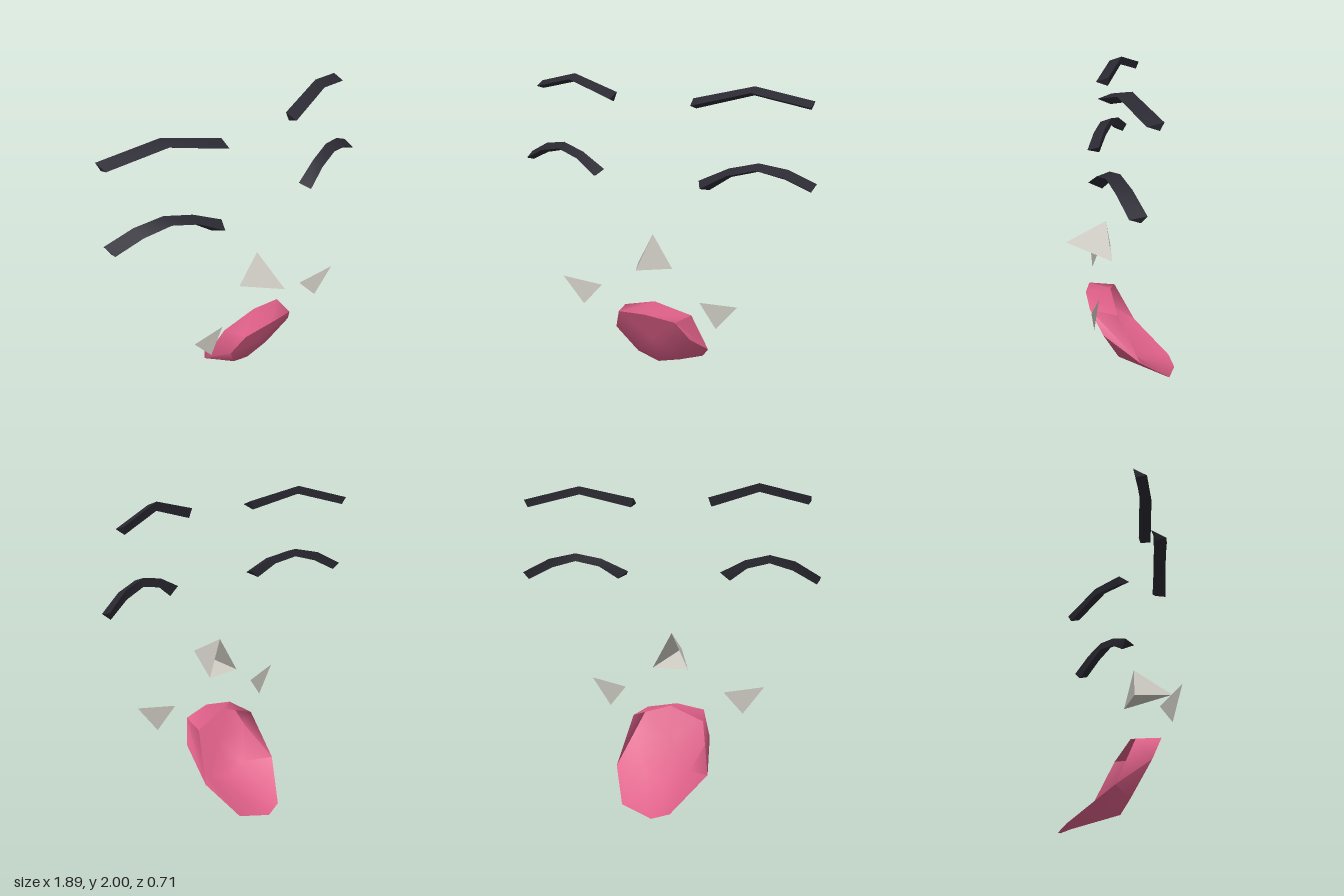
import * as THREE from 'three';
import { toCreasedNormals } from 'three/addons/utils/BufferGeometryUtils.js';

// Geometry from a list of [x, y, z] points and triangles; flip reverses the winding for mirrored parts
function facets(points, tris, flip = false, crease = 0.9) {
  const g = new THREE.BufferGeometry();
  g.setAttribute('position', new THREE.Float32BufferAttribute(points.flat(), 3));
  g.setIndex(tris.flatMap(([a, b, c]) => (flip ? [a, c, b] : [a, b, c])));
  return toCreasedNormals(g, crease);
}

// Triangular bar through stations [topX, topY, topZ, bottomX, bottomY, bottomZ], with its ridge facing forward
function bar(stations, side) {
  const pts = [], tris = [];
  stations.forEach(([tx, ty, tz, bx, by, bz], i) => {
    pts.push(
      [-side * (tx + bx) / 2, (ty + by) / 2, (tz + bz) / 2 + 0.075],
      [-side * tx, ty, tz],
      [-side * bx, by, bz]
    );
    if (i === 0) return;
    const p = (i - 1) * 3, q = i * 3;
    for (let k = 0; k < 3; k++) {
      const n = (k + 1) % 3;
      tris.push([p + k, q + k, p + n], [p + n, q + k, q + n]);
    }
  });
  const e = (stations.length - 1) * 3;
  tris.push([0, 1, 2], [e, e + 2, e + 1]);
  return facets(pts, tris, side > 0);
}

export function createModel() {
  const group = new THREE.Group();
  const material = (name, color, side = THREE.FrontSide) => {
    const m = new THREE.MeshStandardMaterial({ color, side });
    m.name = name;
    return m;
  };
  const black = material('charcoal', 0x2b2a33);
  const bone = material('bone grey', 0xcbc9c0, THREE.DoubleSide);
  const pink = material('pink', 0xdd5f88, THREE.DoubleSide);
  const add = (name, geometry, mat) => {
    const mesh = new THREE.Mesh(geometry, mat);
    mesh.name = name;
    group.add(mesh);
  };

  // Brow and eye arcs, outer end to inner end
  const brow = [
    [-0.885, 1.915, -0.16, -0.87, 1.87, -0.14],
    [-0.57, 2.0, -0.025, -0.57, 1.95, -0.02],
    [-0.24, 1.925, 0.07, -0.26, 1.87, 0.075],
  ];
  const eye = [
    [-0.945, 1.46, -0.08, -0.92, 1.415, -0.05],
    [-0.79, 1.545, -0.015, -0.775, 1.49, 0.0],
    [-0.63, 1.58, 0.04, -0.63, 1.53, 0.04],
    [-0.47, 1.545, 0.09, -0.485, 1.495, 0.085],
    [-0.305, 1.465, 0.135, -0.37, 1.415, 0.13],
  ];
  for (const [side, label] of [[1, 'left'], [-1, 'right']]) {
    add(label + 'Brow', bar(brow, side), black);
    add(label + 'Eye', bar(eye, side), black);
    // Flat cheek triangle
    add(label + 'Cheek', facets(
      [[side * 0.587, 0.735, 0.203], [side * 0.333, 0.695, 0.155], [side * 0.453, 0.555, 0.187]],
      [[0, 1, 2]], side < 0), bone);
  }

  // Nose: three-sided pyramid, open at the back
  add('nose', facets(
    [[0, 0.935, 0.355], [0, 1.075, 0.1], [-0.117, 0.85, 0.068], [0.117, 0.85, 0.068]],
    [[0, 1, 2], [0, 2, 3], [0, 3, 1]], false, 0.1), bone);

  // Mouth: scooped shell, open rim behind and a sloping front plate
  const rim = [
    [0, 0.605, 0.075], [0.24, 0.535, 0.04], [0.31, 0.23, -0.1], [0.205, 0.05, -0.3],
    [0, 0.0, -0.357], [-0.11, 0.03, -0.33], [-0.29, 0.22, -0.1], [-0.225, 0.525, 0.04],
  ];
  const front = [
    [0, 0.585, 0.235], [0.195, 0.555, 0.21], [0.265, 0.41, 0.13], [0.16, 0.19, 0.03],
    [0, 0.13, 0.01], [-0.14, 0.19, 0.03], [-0.25, 0.4, 0.13], [-0.19, 0.56, 0.21],
  ];
  const n = rim.length, tris = [];
  for (let i = 0; i < n; i++) {
    const j = (i + 1) % n;
    tris.push([n + i, n + j, j], [n + i, j, i], [2 * n, n + j, n + i]);
  }
  add('mouth', facets([...rim, ...front, [0, 0.36, 0.125]], tris, false, 1.1), pink);

  return group;
}
